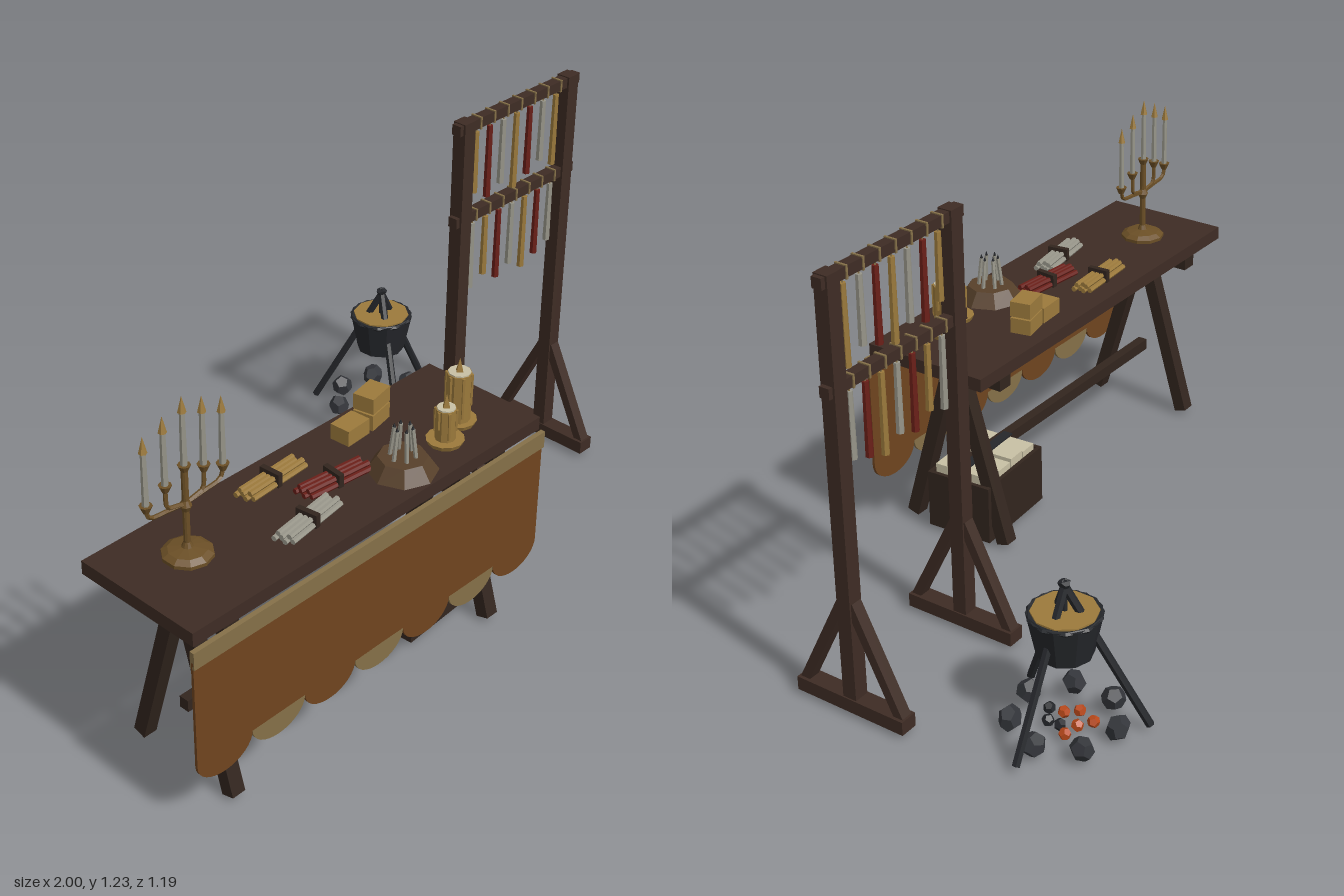
import * as THREE from 'three';

const mat = (color, extra = {}) => new THREE.MeshStandardMaterial({ color, flatShading: true, ...extra });
const M = {
  wood: mat(0x3e2c24), darkWood: mat(0x32251e), cloth: mat(0x6f441f), trim: mat(0x857048),
  gold: mat(0x9c7a3c), brass: mat(0x6b4f26), cream: mat(0xc8c0a4), red: mat(0x6b1f18),
  grey: mat(0x98968a), iron: mat(0x25272b), rock: mat(0x34363b), ember: mat(0xb8481a), bowl: mat(0x57402a),
};

function add(parent, name, geo, material, x = 0, y = 0, z = 0) {
  const m = new THREE.Mesh(geo, material);
  m.name = name;
  m.position.set(x, y, z);
  parent.add(m);
  return m;
}
const box = (p, name, m, w, h, d, x, y, z) => add(p, name, new THREE.BoxGeometry(w, h, d), m, x, y, z);
const cyl = (p, name, m, rTop, rBot, h, n, x, y, z) =>
  add(p, name, new THREE.CylinderGeometry(rTop, rBot, h, n), m, x, y + h / 2, z);
function group(parent, name, x = 0, y = 0, z = 0) {
  const g = new THREE.Group();
  g.name = name;
  g.position.set(x, y, z);
  parent.add(g);
  return g;
}
// Places a geometry that runs along y between two points
function span(p, name, m, a, b, makeGeo) {
  const A = new THREE.Vector3(...a), B = new THREE.Vector3(...b), d = B.clone().sub(A);
  const mesh = add(p, name, makeGeo(d.length()), m);
  mesh.position.copy(A).add(B).multiplyScalar(0.5);
  mesh.quaternion.setFromUnitVectors(new THREE.Vector3(0, 1, 0), d.normalize());
  return mesh;
}
const beam = (p, name, m, a, b, w, d) => span(p, name, m, a, b, l => new THREE.BoxGeometry(w, l, d));
const rod = (p, name, m, a, b, r, n = 6) => span(p, name, m, a, b, l => new THREE.CylinderGeometry(r, r, l, n));

function buildTable(root) {
  const t = group(root, 'table');
  box(t, 'tableTop', M.wood, 1.255, 0.039, 0.39, -0.362, 0.592, 0.382);
  for (const x of [-0.85, 0.125]) {
    box(t, 'trestleBeam', M.darkWood, 0.05, 0.046, 0.347, x, 0.54, 0.383);
    for (const s of [-1, 1])
      beam(t, 'trestleLeg', M.darkWood, [x, 0.01, 0.383 + s * 0.165], [x, 0.54, 0.383 + s * 0.01], 0.042, 0.04);
  }
  box(t, 'stretcher', M.darkWood, 0.99, 0.035, 0.03, -0.362, 0.2, 0.383);
}

function buildCloth(root) {
  const c = group(root, 'tableCloth');
  const n = 7, w = 1.27 / n;
  box(c, 'clothPanel', M.cloth, 1.27, 0.32, 0.008, -0.365, 0.375, 0.583);
  box(c, 'clothBand', M.trim, 1.276, 0.05, 0.014, -0.362, 0.541, 0.583);
  // Hanging scallops in alternating colours
  const s = new THREE.Shape();
  s.moveTo(-w / 2, 0);
  s.absellipse(0, 0, w / 2, 0.066, Math.PI, Math.PI * 2, false);
  s.closePath();
  const geo = new THREE.ExtrudeGeometry(s, { depth: 0.008, bevelEnabled: false, curveSegments: 8 });
  for (let i = 0; i < n; i++)
    add(c, 'scallop', geo, i % 2 ? M.trim : M.cloth, -1 + w * (i + 0.5), 0.216, 0.579);
}

function buildCandelabra(root) {
  const g = group(root, 'candelabra', -0.795, 0.611, 0.35);
  const profile = [[0, 0], [0.066, 0], [0.066, 0.01], [0.05, 0.02], [0.015, 0.026], [0.009, 0.04], [0.009, 0.13],
    [0.016, 0.145], [0.009, 0.16], [0.009, 0.245], [0, 0.245]];
  add(g, 'stand', new THREE.LatheGeometry(profile.map(p => new THREE.Vector2(...p)), 10), M.brass);
  for (let i = -2; i <= 2; i++) {
    const x = i * 0.061, y = 0.24 - Math.abs(i) * 0.027;
    if (i) {
      const curve = new THREE.CatmullRomCurve3([[0, 0.15], [x * 0.5, 0.157], [x * 0.92, 0.165], [x, y]]
        .map(([a, b]) => new THREE.Vector3(a, b, 0)));
      add(g, 'arm', new THREE.TubeGeometry(curve, 8, 0.006, 5), M.brass);
    }
    cyl(g, 'cup', M.brass, 0.017, 0.008, 0.02, 8, x, y, 0);
    cyl(g, 'taper', M.grey, 0.007, 0.009, 0.145, 6, x, y + 0.02, 0);
    cyl(g, 'flame', M.gold, 0, 0.011, 0.045, 6, x, y + 0.165, 0);
  }
}

// Bundle of thin candles with a dark tie round the middle
function buildBundle(root, m, x, z, angle) {
  const g = group(root, 'candleBundle', x, 0.611, z);
  g.rotation.y = angle;
  for (let i = 0; i < 7; i++) {
    const row = i < 4 ? 0 : 1, k = row ? i - 5 : i - 1.5, shift = ((i * 3) % 5 - 2) * 0.004;
    rod(g, 'thinCandle', m, [-0.1 + shift, 0.008 + row * 0.014, k * 0.015],
      [0.1 + shift, 0.008 + row * 0.014, k * 0.015], 0.008);
  }
  box(g, 'tie', M.darkWood, 0.016, 0.04, 0.064, 0, 0.019, 0);
}

function buildPillarCandle(root, x, z, r, h) {
  const g = group(root, 'pillarCandle', x, 0.611, z);
  cyl(g, 'dish', M.gold, 0.052, 0.046, 0.014, 12, 0, 0, 0);
  cyl(g, 'wax', M.gold, r, r, h, 10, 0, 0.01, 0);
  cyl(g, 'waxTop', M.cream, r * 0.9, r * 0.9, 0.004, 10, 0, h + 0.01, 0);
  cyl(g, 'flame', M.gold, 0, 0.013, 0.042, 4, 0, h + 0.012, 0);
  for (let i = 0; i < 6; i++) {
    const a = i * 1.047, l = h * (0.45 + 0.1 * ((i * 2) % 5));
    cyl(g, 'drip', M.gold, 0.005, 0.004, l, 5, r * Math.cos(a), h + 0.008 - l, r * Math.sin(a));
  }
}

function buildTableWares(root) {
  buildCandelabra(root);
  buildBundle(root, M.gold, -0.445, 0.28, 0.06);
  buildBundle(root, M.red, -0.335, 0.392, -0.1);
  buildBundle(root, M.grey, -0.505, 0.468, 0.14);
  buildPillarCandle(root, 0.095, 0.435, 0.034, 0.145);
  buildPillarCandle(root, 0.0, 0.474, 0.028, 0.095);
  // Holder with a cluster of leaning candles
  const h = group(root, 'candleHolder', -0.17, 0.611, 0.478);
  cyl(h, 'holderBase', M.bowl, 0.066, 0.095, 0.042, 8, 0, 0, 0);
  for (let i = 0; i < 6; i++) {
    const a = i * Math.PI / 3, c = Math.cos(a), s = Math.sin(a);
    rod(h, 'smallCandle', M.grey, [0.034 * c, 0.04, 0.034 * s], [0.024 * c, 0.125, 0.024 * s], 0.006);
    cyl(h, 'wickTip', M.iron, 0, 0.005, 0.014, 5, 0.024 * c, 0.124, 0.024 * s);
  }
  // Wax blocks
  for (const [x, y, z, a] of [[-0.153, 0.635, 0.278, 0.06], [-0.06, 0.635, 0.268, 0.2], [-0.06, 0.686, 0.268, 0.2]])
    box(root, 'waxBlock', M.gold, 0.085, 0.046, 0.062, x, y, z).rotation.y = a;
}

function buildCrate(root) {
  const g = group(root, 'crate', 0.022, 0.01, 0.367);
  g.rotation.y = 0.065;
  box(g, 'crateBottom', M.darkWood, 0.29, 0.012, 0.205, 0, 0.006, 0);
  for (const s of [-1, 1]) {
    box(g, 'crateSide', M.darkWood, 0.29, 0.18, 0.012, 0, 0.09, s * 0.0985);
    box(g, 'crateEnd', M.darkWood, 0.012, 0.18, 0.209, s * 0.139, 0.09, 0);
  }
  for (let i = 0; i < 4; i++) for (const s of [-1, 1])
    box(g, 'storedBlock', M.cream, 0.058, 0.14, 0.084, -0.097 + i * 0.0645, 0.125 + (i % 2) * 0.007, s * 0.046);
  box(g, 'storedTie', M.iron, 0.25, 0.004, 0.03, 0, 0.207, 0);
}

function buildRack(root) {
  const g = group(root, 'dryingRack', 0, 0, 0.075);
  for (const x of [0.51, 0.965]) {
    box(g, 'foot', M.wood, 0.052, 0.04, 0.345, x, 0.03, 0);
    box(g, 'post', M.wood, 0.044, 1.18, 0.042, x, 0.64, 0);
    for (const s of [-1, 1])
      beam(g, 'brace', M.wood, [x, 0.045, s * 0.155], [x, 0.335, s * 0.012], 0.034, 0.027);
  }
  const colors = [M.gold, M.red, M.grey];
  [1.212, 0.931].forEach((y, row) => {
    box(g, 'rail', M.wood, 0.525, 0.03, 0.03, 0.7375, y, 0);
    for (let i = 0; i < 7; i++) {
      const x = 0.561 + i * 0.0588, top = y - 0.03, len = 0.185 + ((i * 3 + row * 2) % 5) * 0.011;
      box(g, 'wickLoop', M.trim, 0.006, 0.036, 0.036, x, y, 0);
      cyl(g, 'wick', M.trim, 0.003, 0.003, 0.02, 4, x, top, 0);
      cyl(g, 'hangingCandle', colors[(i + row * 2) % 3], 0.009, 0.011, len, 6, x, top - len, 0);
    }
  });
}

function buildFire(root) {
  const g = group(root, 'cauldronAndFire', 0.718, 0, -0.403);
  for (let i = 0; i < 3; i++) {
    const a = i * Math.PI * 2 / 3, c = Math.cos(a), s = Math.sin(a);
    rod(g, 'tripodLeg', M.iron, [0.213 * c, 0.014, 0.213 * s], [-0.008 * c, 0.435, -0.008 * s], 0.0115);
  }
  cyl(g, 'hook', M.iron, 0.007, 0.007, 0.09, 6, 0, 0.345, 0);
  cyl(g, 'pot', M.iron, 0.098, 0.074, 0.118, 10, 0, 0.228, 0);
  cyl(g, 'moltenWax', M.gold, 0.087, 0.087, 0.006, 10, 0, 0.345, 0);
  const rim = add(g, 'rim', new THREE.TorusGeometry(0.092, 0.007, 5, 10), M.iron, 0, 0.342, 0);
  rim.rotation.x = Math.PI / 2;
  // Ring of stones around glowing coals
  for (let i = 0; i < 7; i++) {
    const a = i * Math.PI * 2 / 7;
    const r = add(g, 'stone', new THREE.DodecahedronGeometry(0.037), M.rock, 0.14 * Math.cos(a), 0.033, 0.14 * Math.sin(a));
    r.rotation.set(i, i * 2.1, i * 0.7);
    r.scale.set(1, 0.85, 0.9);
  }
  for (let i = 0; i < 8; i++) {
    const a = i * 2.4, d = 0.025 + 0.0065 * i;
    const e = add(g, 'coal', new THREE.DodecahedronGeometry(0.017), i % 3 ? M.ember : M.iron, d * Math.cos(a), 0.019, d * Math.sin(a));
    e.rotation.set(i, i * 1.3, 0);
  }
}

export function createModel() {
  const root = new THREE.Group();
  root.name = 'candleMakerStall';
  buildTable(root);
  buildCloth(root);
  buildTableWares(root);
  buildCrate(root);
  buildRack(root);
  buildFire(root);
  return root;
}
